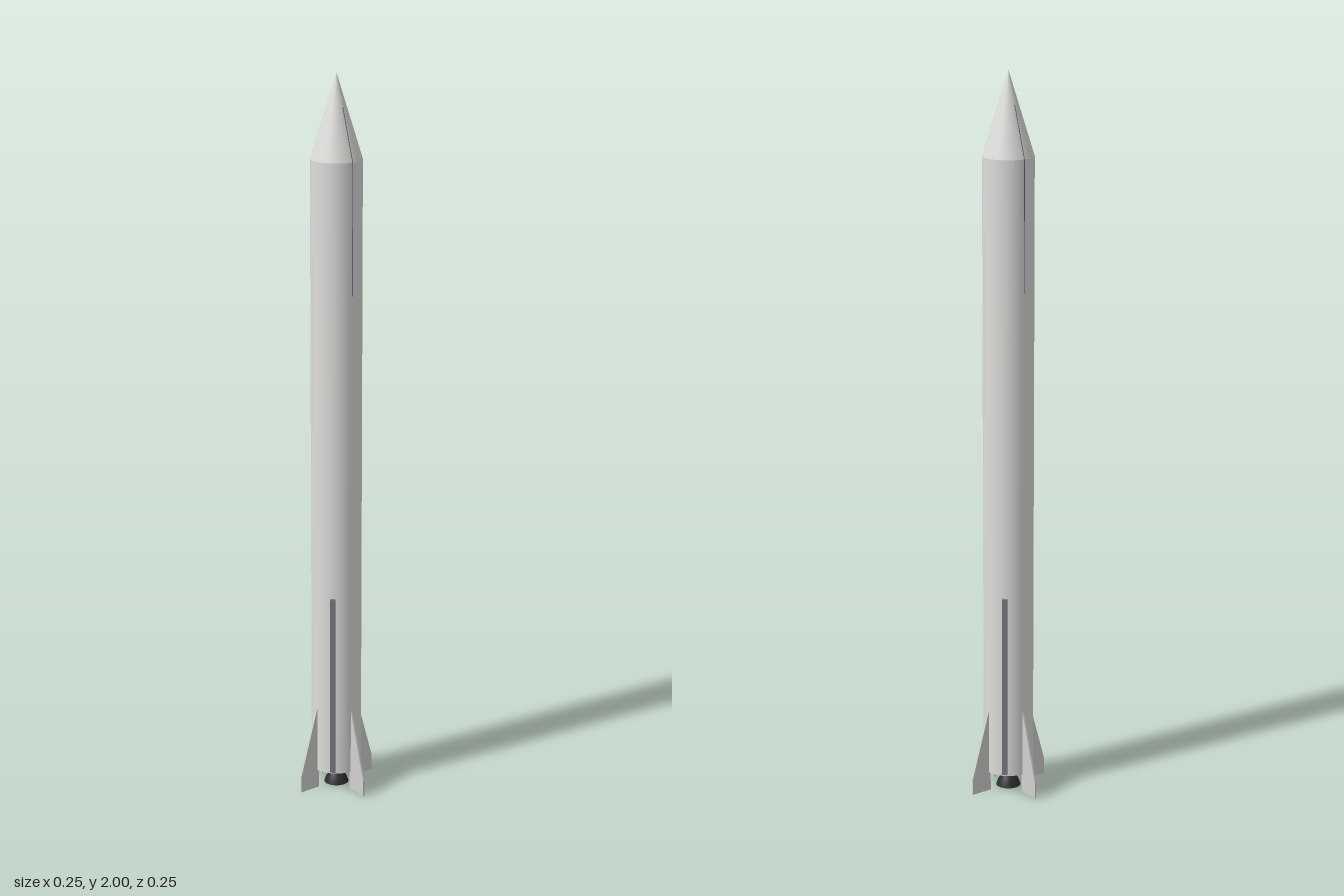
import * as THREE from 'three';

const R = 0.069, BASE = 0.053, SHOULDER = 1.775, TOP = 2;

const paint = (name, color) => {
  const m = new THREE.MeshStandardMaterial({ color });
  m.name = name;
  return m;
};

export function createModel() {
  const group = new THREE.Group();
  const white = paint('body white', 0xdededb);
  const grey = paint('fin grey', 0xd2d2d0);
  const steel = paint('rail grey', 0x77777d);
  const slate = paint('seam slate', 0x6c6c84);
  const black = paint('engine black', 0x2c2c2e);
  black.side = THREE.DoubleSide;

  const add = (name, geometry, material, parent = group) => {
    const mesh = new THREE.Mesh(geometry, material);
    mesh.name = name;
    parent.add(mesh);
    return mesh;
  };

  // Body tube and pointed nose
  add('body', new THREE.CylinderGeometry(R, R, SHOULDER - BASE, 64, 1, true), white)
    .position.y = (SHOULDER + BASE) / 2;
  add('noseCone', new THREE.ConeGeometry(R, TOP - SHOULDER, 64, 1, true), white)
    .position.y = (SHOULDER + TOP) / 2;

  // Dark base plate
  const plate = add('basePlate', new THREE.CircleGeometry(R, 64), black);
  plate.rotation.x = Math.PI / 2;
  plate.position.y = BASE;

  // Engine bell with a narrow throat
  const bell = [[0.018, BASE], [0.018, 0.046], [0.013, 0.042], [0.014, 0.036],
    [0.022, 0.026], [0.029, 0.014], [0.034, 0]];
  add('engineBell', new THREE.LatheGeometry(
    bell.map(([x, y]) => new THREE.Vector2(x, y)).reverse(), 32), black);

  // Four swept tail fins
  const thick = 0.005;
  const outline = new THREE.Shape([[0.0635, 0], [0.125, 0], [0.125, 0.045], [R, 0.238], [0.0635, 0.257]]
    .map(([x, y]) => new THREE.Vector2(x, y)));
  const finGeometry = new THREE.ExtrudeGeometry(outline, { depth: thick, bevelEnabled: false });
  finGeometry.translate(0, 0, -thick / 2);
  for (let i = 0; i < 4; i++) add('tailFin', finGeometry, grey).rotation.y = i * Math.PI / 2;

  // Two side rails on opposite diagonals
  const railGeometry = new THREE.BoxGeometry(0.016, 0.515, 0.014);
  railGeometry.translate(0.071, 0.3175, 0);
  for (const angle of [Math.PI / 4, Math.PI * 5 / 4]) add('sideRail', railGeometry, steel).rotation.y = angle;

  // Hairline seams running from the upper body onto the nose, front and back
  const lift = 0.0006, seamTop = 1.912;
  const noseRadius = R * (TOP - seamTop) / (TOP - SHOULDER);
  const seamShape = new THREE.Shape([[R - 0.003, 1.42], [R + lift, 1.42], [R + lift, SHOULDER],
    [noseRadius + lift, seamTop], [noseRadius - 0.003, seamTop], [R - 0.003, SHOULDER]]
    .map(([x, y]) => new THREE.Vector2(x, y)));
  const seamGeometry = new THREE.ExtrudeGeometry(seamShape, { depth: 0.002, bevelEnabled: false });
  seamGeometry.translate(0, 0, -0.001);
  for (const side of [1, -1]) add('seam', seamGeometry, slate).rotation.y = side * Math.PI / 2;

  return group;
}
